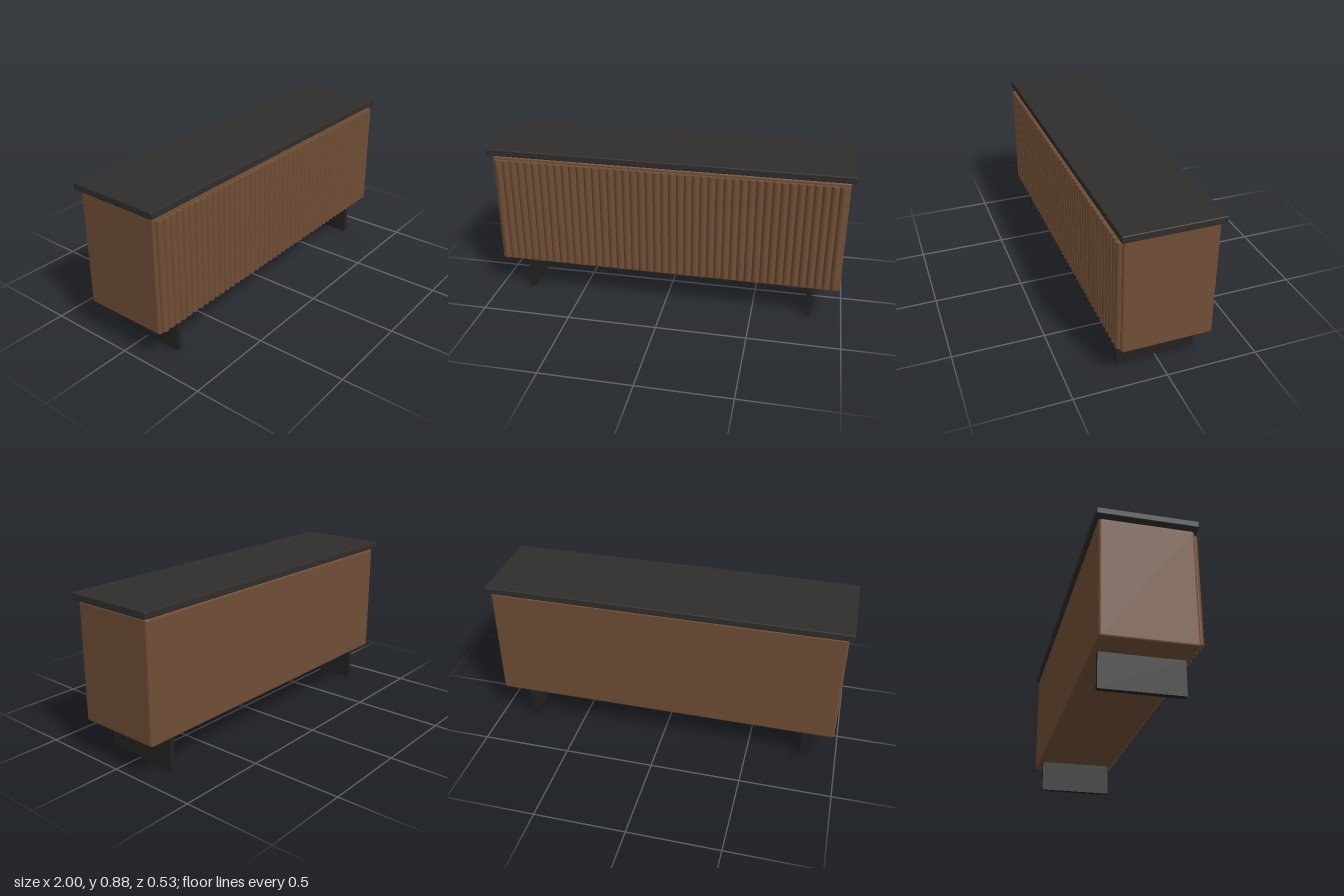
import * as THREE from 'three';
import { RoundedBoxGeometry } from 'three/addons/geometries/RoundedBoxGeometry.js';

export function createModel() {
  const model = new THREE.Group();
  model.name = 'sideboard';
  const wood = new THREE.MeshStandardMaterial({ color: 0x704e35 });
  const darkTop = new THREE.MeshStandardMaterial({ color: 0x2f2e2d });
  const darkLeg = new THREE.MeshStandardMaterial({ color: 0x232221 });

  const add = (name, geometry, material, x, y, z, parent = model) => {
    const mesh = new THREE.Mesh(geometry, material);
    mesh.name = name;
    mesh.position.set(x, y, z);
    parent.add(mesh);
    return mesh;
  };

  // Cabinet body with softened edges
  add('cabinetBody', new RoundedBoxGeometry(1.95, 0.651, 0.489, 4, 0.015), wood, 0, 0.5125, -0.0025);

  // Overhanging top slab, floating just above the body
  add('topSlab', new RoundedBoxGeometry(2, 0.038, 0.522, 3, 0.006), darkTop, 0, 0.861, -0.002);

  // Row of upright round slats, half sunk into the front
  const slats = new THREE.Group();
  slats.name = 'frontSlats';
  model.add(slats);
  const count = 45, pitch = 1.922 / count;
  const slatGeometry = new THREE.CylinderGeometry(pitch / 2, pitch / 2, 0.608, 16);
  for (let i = 0; i < count; i++) {
    add('slat', slatGeometry, wood, (i - (count - 1) / 2) * pitch, 0.514, 0.2435, slats);
  }

  // Panel legs
  const legGeometry = new THREE.BoxGeometry(0.03, 0.188, 0.433);
  for (const side of [-1, 1]) {
    add(side > 0 ? 'leftLeg' : 'rightLeg', legGeometry, darkLeg, side * 0.815, 0.094, -0.0025);
  }

  return model;
}
